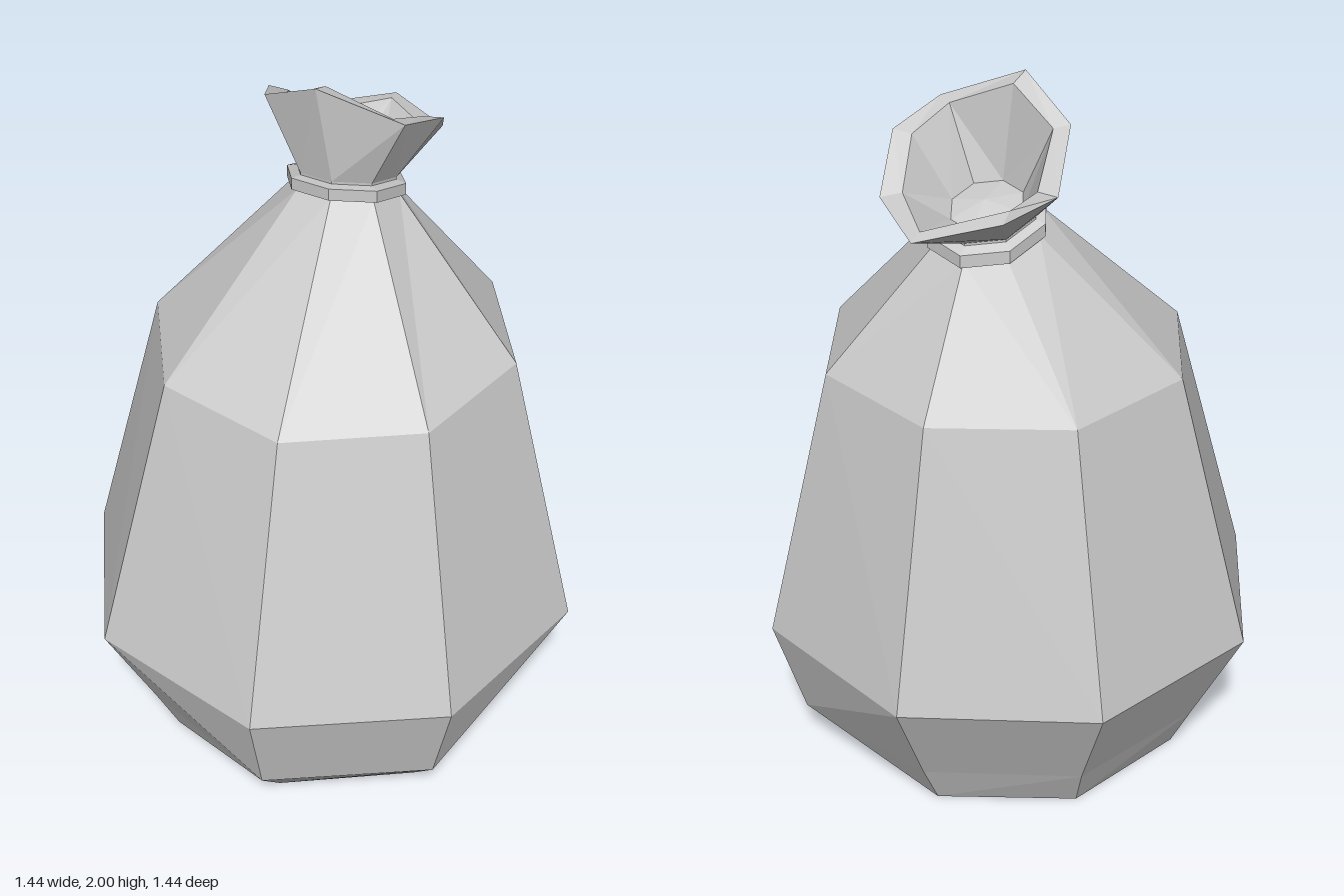
import * as THREE from 'three';

const SIDES = 8;
const material = new THREE.MeshStandardMaterial({ color: 0xcccccc, flatShading: true });

// Octagonal ring, counted from the front towards the left; tilt raises its front edge
function ring(y, r, cz = 0, tilt = 0, turn = 0) {
  return Array.from({ length: SIDES }, (_, i) => {
    const a = (i / SIDES) * Math.PI * 2 + turn;
    const z = Math.cos(a) * r;
    return new THREE.Vector3(Math.sin(a) * r, y + tilt * z, cz + z);
  });
}

// All corners of a ring pulled to one point, to close an end
const point = (x, y, z) => Array.from({ length: SIDES }, () => new THREE.Vector3(x, y, z));

// Skin between successive rings, splitting each quad along its outer diagonal
function loft(name, rings) {
  const pos = [];
  const tri = (a, b, c) => {
    const n = b.clone().sub(a).cross(c.clone().sub(a));
    if (n.length() > 1e-9) for (const p of [a, b, c]) pos.push(p.x, p.y, p.z);
  };
  for (let k = 0; k < rings.length - 1; k++) {
    const lo = rings[k], hi = rings[k + 1];
    const mid = [...lo, ...hi].reduce((s, p) => s.add(p), new THREE.Vector3()).divideScalar(2 * SIDES);
    const reach = (p, q) => Math.hypot((p.x + q.x) / 2 - mid.x, (p.z + q.z) / 2 - mid.z);
    for (let i = 0; i < SIDES; i++) {
      const j = (i + 1) % SIDES;
      const a = lo[i], b = lo[j], c = hi[j], d = hi[i];
      if (reach(a, c) >= reach(b, d)) { tri(a, b, c); tri(a, c, d); }
      else { tri(a, b, d); tri(b, c, d); }
    }
  }
  const geo = new THREE.BufferGeometry();
  geo.setAttribute('position', new THREE.Float32BufferAttribute(pos, 3));
  geo.computeVertexNormals();
  const mesh = new THREE.Mesh(geo, material);
  mesh.name = name;
  return mesh;
}

export function createModel() {
  const group = new THREE.Group();
  group.name = 'tiedSack';
  const cz = -0.155, tilt = 0.31, turn = -0.02;

  // Body: flat base, sagging belly, shoulders drawn back to the neck
  const low = ring(0.13, 0.573, 0, 0, turn);
  for (const i of [0, 1, 3]) {
    low[i].x *= 1.1;
    low[i].z *= 1.1;
  }
  group.add(loft('sackBody', [
    point(0, 0, 0),
    ring(0, 0.51),
    low,
    ring(0.42, 0.718, 0, 0, turn),
    ring(1.225, 0.512, -0.037),
    ring(1.625, 0.148, cz, tilt),
  ]));

  // Band tied around the neck
  group.add(loft('tieBand', [
    ring(1.625, 0.13, cz, tilt),
    ring(1.625, 0.165, cz, tilt),
    ring(1.66, 0.165, cz, tilt),
    ring(1.67, 0.13, cz, tilt),
  ]));

  // Flared mouth: uneven rim, folded inwards to a gathered floor
  const toRing = (rows) => rows.map((p) => new THREE.Vector3(...p));
  const rim = toRing([
    [-0.035, 2.0, 0.01], [0.19, 1.91, -0.03], [0.255, 1.86, -0.18], [0.215, 1.74, -0.34],
    [0.04, 1.72, -0.515], [-0.14, 1.74, -0.365], [-0.26, 1.81, -0.3], [-0.2, 1.91, -0.08],
  ]);
  const lip = toRing([
    [-0.025, 1.98, -0.045], [0.15, 1.905, -0.06], [0.2, 1.855, -0.18], [0.165, 1.75, -0.31],
    [0.04, 1.73, -0.465], [-0.13, 1.75, -0.3], [-0.2, 1.81, -0.29], [-0.16, 1.9, -0.1],
  ]);
  group.add(loft('sackMouth', [
    ring(1.62, 0.135, cz, tilt),
    ring(1.675, 0.138, cz, tilt),
    rim,
    lip,
    ring(1.68, 0.1, cz, tilt),
    point(0.005, 1.7, -0.16),
  ]));

  return group;
}
